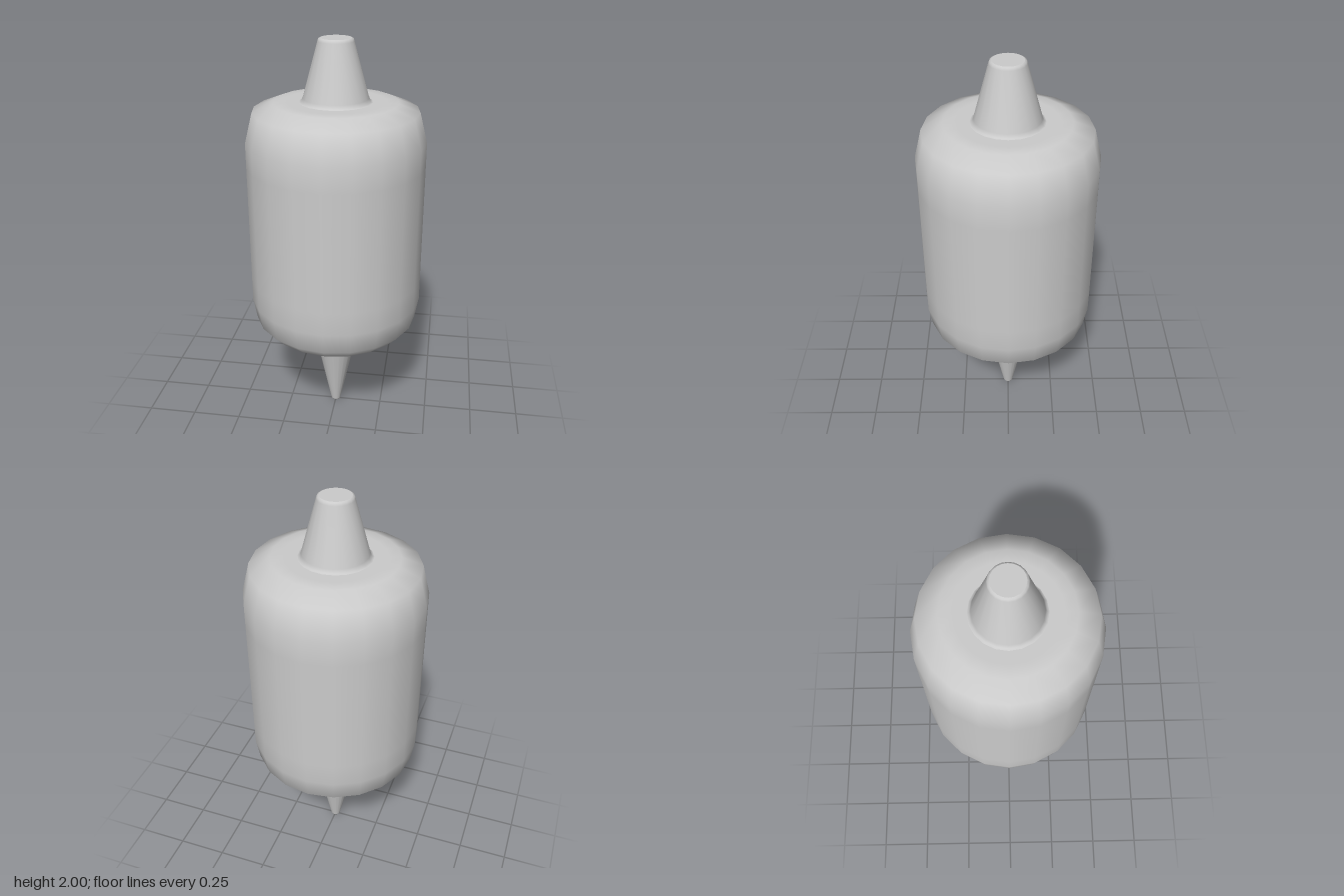
import * as THREE from 'three';

const SIDES = 20;
const material = new THREE.MeshStandardMaterial({ color: 0xcccccc });

// Turned part from [radius, height] pairs, listed bottom to top
function turned(name, profile) {
  const points = profile.map(([r, y]) => new THREE.Vector2(r, y));
  const mesh = new THREE.Mesh(new THREE.LatheGeometry(points, SIDES), material);
  mesh.name = name;
  return mesh;
}

export function createModel() {
  const group = new THREE.Group();
  group.name = 'turnedSpindle';

  group.add(
    // Tapered point with a blunt end and a fillet into the body
    turned('lowerPoint', [
      [0, 0], [0.02, 0], [0.026, 0.01], [0.117, 0.45], [0.13, 0.48], [0.145, 0.491], [0.165, 0.495],
    ]),

    // Barrel with rounded shoulders
    turned('body', [
      [0.165, 0.495], [0.22, 0.495], [0.28, 0.495], [0.365, 0.517], [0.418, 0.572], [0.437, 0.68],
      [0.437, 0.8], [0.437, 1.4], [0.437, 1.52],
      [0.4, 1.665], [0.3, 1.705], [0.24, 1.705], [0.175, 1.705],
    ]),

    // Tapered neck with a small flare at its base and a softened rim
    turned('upperNeck', [
      [0.175, 1.705], [0.166, 1.708], [0.158, 1.725], [0.086, 1.985], [0.082, 1.996], [0.074, 2],
    ]),

    // Flat end of the neck
    turned('neckCap', [[0.074, 2], [0, 2]]),
  );
  return group;
}
